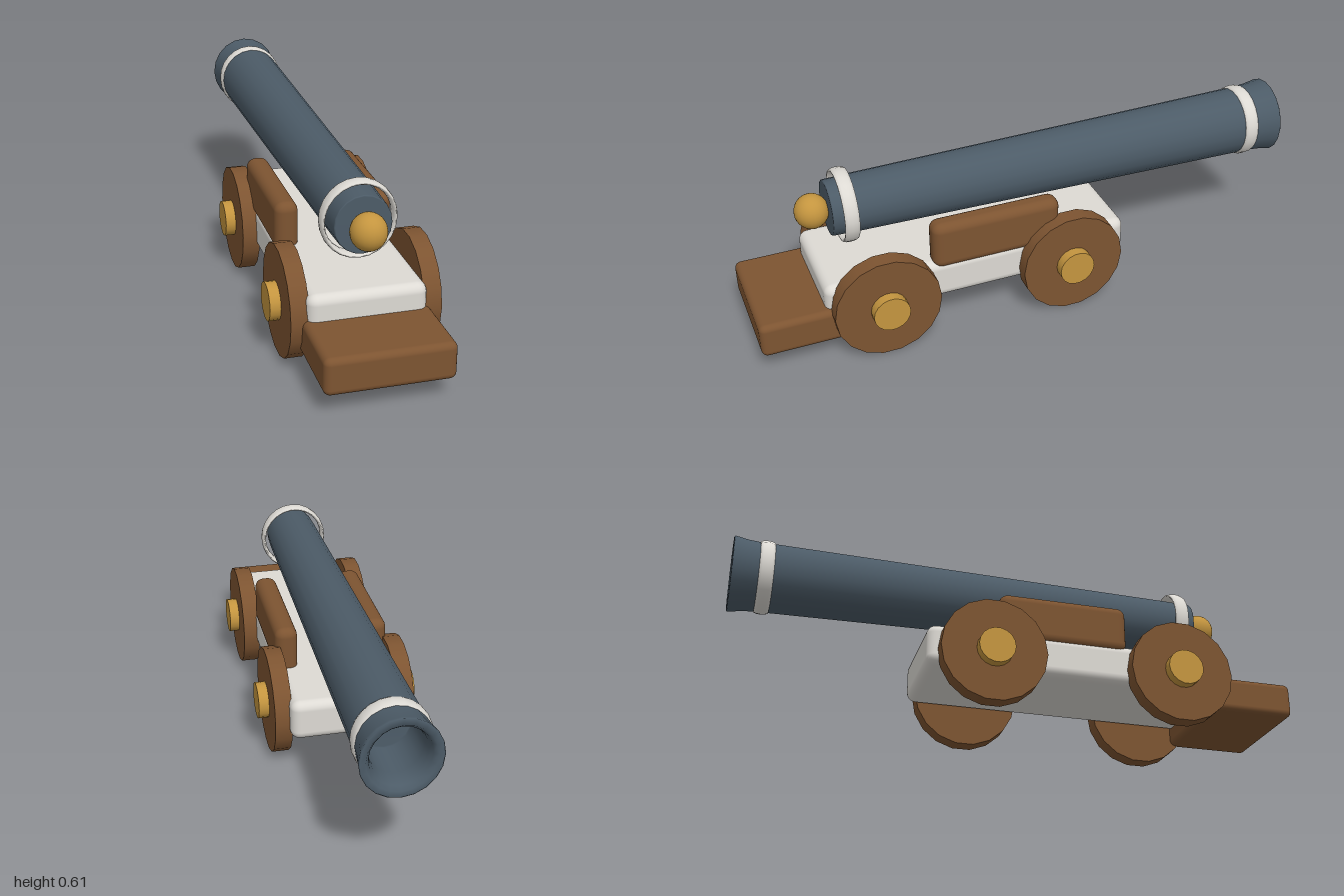
import * as THREE from 'three';
import { RoundedBoxGeometry } from 'three/addons/geometries/RoundedBoxGeometry.js';

const mat = (name, color) => new THREE.MeshStandardMaterial({ name, color });

export function createModel() {
  const iron = mat('blueIron', 0x4c5b67);
  const wood = mat('brownWood', 0x7d5431);
  const brass = mat('brass', 0xc4953f);
  const white = mat('whitePaint', 0xdddad4);

  const model = new THREE.Group();
  model.name = 'cannon';

  const add = (parent, name, geometry, material, x = 0, y = 0, z = 0) => {
    const mesh = new THREE.Mesh(geometry, material);
    mesh.name = name;
    mesh.position.set(x, y, z);
    parent.add(mesh);
    return mesh;
  };

  // Rounded block given by its extents
  const block = (name, material, x0, x1, y0, y1, z0, z1, r) =>
    add(model, name, new RoundedBoxGeometry(x1 - x0, y1 - y0, z1 - z0, 3, r), material,
      (x0 + x1) / 2, (y0 + y1) / 2, (z0 + z1) / 2);

  // Carriage
  block('carriageBed', white, -0.195, 0.195, 0.135, 0.281, -0.333, 0.768, 0.032);
  block('tailStep', wood, -0.208, 0.208, 0.072, 0.197, 0.69, 1, 0.022);

  // Cheeks, wheels and hubs on both sides
  const wheelGeometry = new THREE.CylinderGeometry(0.187, 0.187, 0.06, 18).rotateZ(Math.PI / 2);
  const hubGeometry = new THREE.CylinderGeometry(0.064, 0.064, 0.06, 18).rotateZ(Math.PI / 2);
  for (const [side, s] of [['left', 1], ['right', -1]]) {
    block(side + 'Cheek', wood, s * 0.16 - 0.04, s * 0.16 + 0.04, 0.255, 0.43, -0.08, 0.385, 0.032);
    for (const [end, z] of [['Front', 0.567], ['Rear', -0.112]]) {
      add(model, side + end + 'Wheel', wheelGeometry, wood, s * 0.215, 0.184, z);
      add(model, side + end + 'Hub', hubGeometry, brass, s * 0.251, 0.184, z);
    }
  }

  // Barrel, slightly taller than wide, with its muzzle towards the back
  const barrel = new THREE.Group();
  barrel.name = 'barrelAssembly';
  barrel.position.y = 0.472;
  barrel.scale.y = 1.04;
  model.add(barrel);

  // Profile of radius against distance towards the muzzle
  const profile = [
    [0, -0.695], [0.09, -0.695], [0.093, -0.694], [0.094, -0.69], [0.097, -0.6],
    [0.118, 0.84], [0.119, 0.91], [0.122, 0.95], [0.128, 0.985], [0.13, 0.997],
    [0.126, 1], [0.108, 1], [0.097, 0.985], [0.09, 0.96], [0.087, 0.93],
    [0.085, 0.8], [0.083, 0.795], [0, 0.795],
  ].map(([r, d]) => new THREE.Vector2(r, d));
  add(barrel, 'barrel', new THREE.LatheGeometry(profile, 20).rotateX(-Math.PI / 2), iron);

  // Flattened bands around the barrel
  const bandGeometry = new THREE.TorusGeometry(0.118, 0.008, 10, 24).scale(1, 1, 3.3);
  add(barrel, 'breechBand', bandGeometry, white, 0, 0, 0.637);
  add(barrel, 'muzzleBand', bandGeometry, white, 0, 0, -0.883);

  // Knob behind the breech
  add(barrel, 'breechKnob', new THREE.SphereGeometry(0.059, 24, 16), brass, 0, 0, 0.746);

  return model;
}
